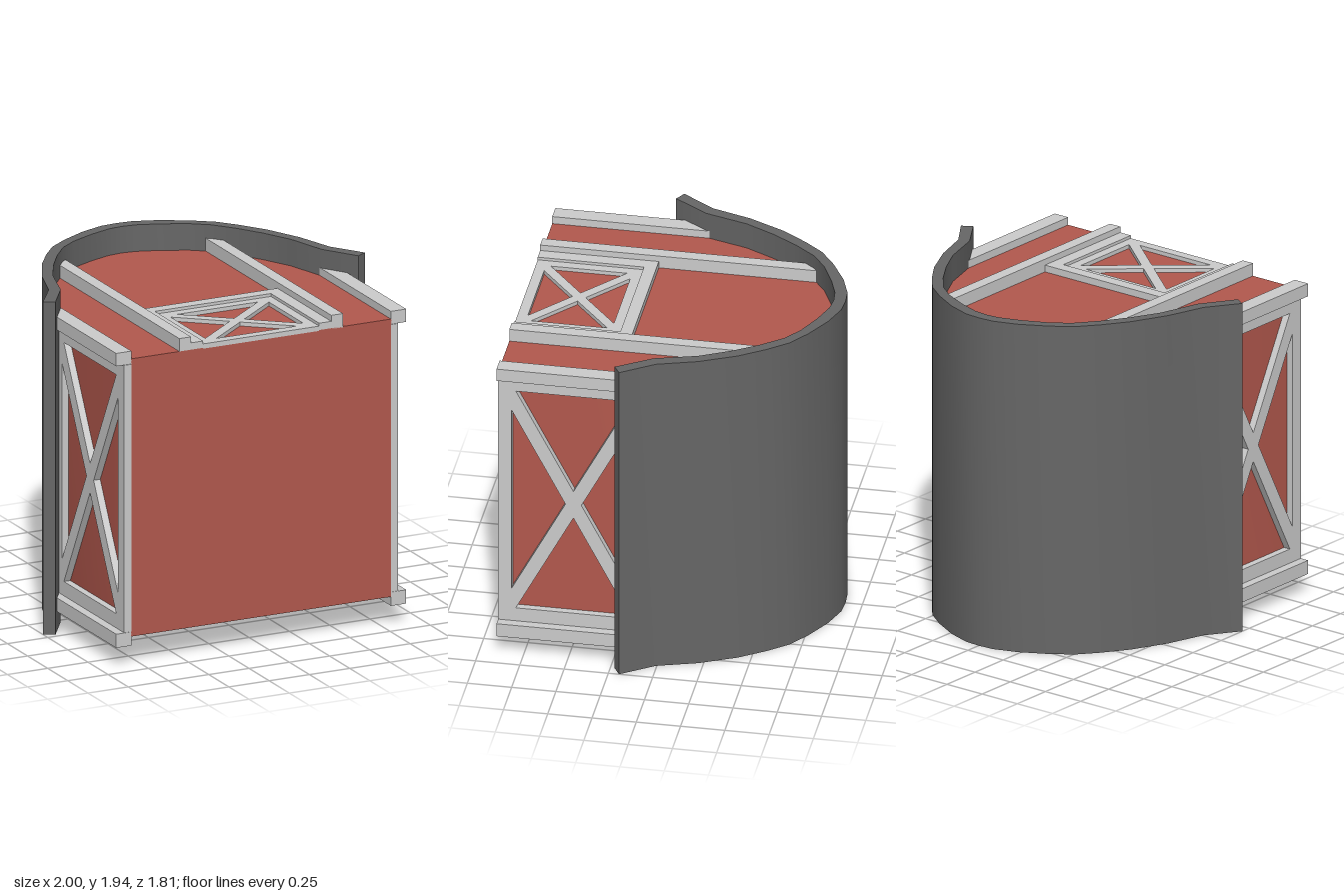
import * as THREE from 'three';
import { toCreasedNormals } from 'three/addons/utils/BufferGeometryUtils.js';

const red = new THREE.MeshStandardMaterial({ color: 0xb2584d });
const trim = new THREE.MeshStandardMaterial({ color: 0xcccccc });
const dark = new THREE.MeshStandardMaterial({ color: 0x666666 });

// Half outlines of the roof, eave to ridge (the barn is built upright, then laid on its back)
const outer = [[1, -0.19], [0.872, -0.005], [0.8, 0.22], [0.7, 0.425], [0.6, 0.57],
  [0.508, 0.68], [0.39, 0.765], [0.235, 0.85], [0.096, 0.898], [0, 0.905]];
const inner = [[0.94, -0.225], [0.81, -0.03], [0.738, 0.21], [0.65, 0.38], [0.556, 0.524],
  [0.46, 0.642], [0.358, 0.717], [0.21, 0.786], [0.085, 0.829], [0, 0.838]];

const toShape = (pts) => new THREE.Shape(pts.map(([x, y]) => new THREE.Vector2(x, y)));
const flip = (pts) => pts.map(([x, y]) => [-x, y]);
const arch = (half) => [...half, ...flip(half.slice(0, -1)).reverse()];

function extrude(shape, depth) {
  return toCreasedNormals(new THREE.ExtrudeGeometry(shape, { depth, bevelEnabled: false }), 0.5);
}

function part(name, geometry, material, x = 0, y = 0, z = 0) {
  const mesh = new THREE.Mesh(geometry, material);
  mesh.name = name;
  mesh.position.set(x, y, z);
  return mesh;
}

// Rectangular frame with a cross brace, left over between four triangular holes
function bracedFrame(w, h, hole, depth) {
  const { hw, hh, tx, sy, ax, ay } = hole;
  const shape = toShape([[-w, -h], [w, -h], [w, h], [-w, h]]);
  for (const s of [-1, 1]) {
    shape.holes.push(toShape([[-tx, s * hh], [tx, s * hh], [0, s * ay]]));
    shape.holes.push(toShape([[s * hw, -sy], [s * hw, sy], [s * ax, 0]]));
  }
  return extrude(shape, depth);
}

export function createModel() {
  const model = new THREE.Group();
  model.name = 'barn';
  const barn = new THREE.Group();
  barn.name = 'barnBody';
  barn.rotation.x = -Math.PI / 2;
  model.add(barn);

  // Curved roof shell with flared eaves
  const roof = toShape([...arch(outer), ...arch(inner).reverse()]);
  barn.add(part('roof', extrude(roof, 1.94), dark));

  // Walls filling the space under the roof
  const walls = toShape([[0.808, -0.9], ...arch(inner.slice(1)), [-0.808, -0.9]]);
  barn.add(part('walls', extrude(walls, 1.62), red, 0, 0, 0.165));

  // Corner trim, side frames and gable posts, mirrored
  const cornerPts = [[0.805, -0.9], [0.9, -0.9], [0.9, -0.13], [0.805, 0]];
  const postPts = [[0.435, -0.9], [0.508, -0.9], [0.508, 0.61], [0.435, 0.68]];
  const sideHole = { hw: 0.697, hh: 0.35, tx: 0.575, sy: 0.325, ax: 0.085, ay: 0.045 };
  for (const s of [1, -1]) {
    const side = s > 0 ? 'left' : 'right';
    const mirrored = (pts) => toShape(s > 0 ? pts : flip(pts));
    barn.add(part(side + 'FrontCornerTrim', extrude(mirrored(cornerPts), 0.075), trim, 0, 0, 1.755));
    barn.add(part(side + 'BackCornerTrim', extrude(mirrored(cornerPts), 0.08), trim, 0, 0, 0.112));
    barn.add(part(side + 'GablePost', extrude(mirrored(postPts), 0.08), trim, 0, 0, 1.78));

    const frame = part(side + 'SideFrame', bracedFrame(0.78, 0.425, sideHole, 0.045), trim,
      s > 0 ? 0.805 : -0.85, -0.475, 0.973);
    frame.rotation.y = Math.PI / 2;
    barn.add(frame);
  }

  // Door surround, open at the foot
  const surround = toShape([[0.36, -0.9], [0.436, -0.9], [0.436, -0.23], [-0.436, -0.23],
    [-0.436, -0.9], [-0.36, -0.9], [-0.36, -0.3], [0.36, -0.3]]);
  barn.add(part('doorSurround', extrude(surround, 0.045), trim, 0, 0, 1.78));

  // Door with cross brace, slightly recessed in its surround
  const doorHole = { hw: 0.305, hh: 0.243, tx: 0.25, sy: 0.215, ax: 0.045, ay: 0.037 };
  barn.add(part('door', bracedFrame(0.36, 0.3, doorHole, 0.028), trim, 0, -0.6, 1.78));

  return model;
}
